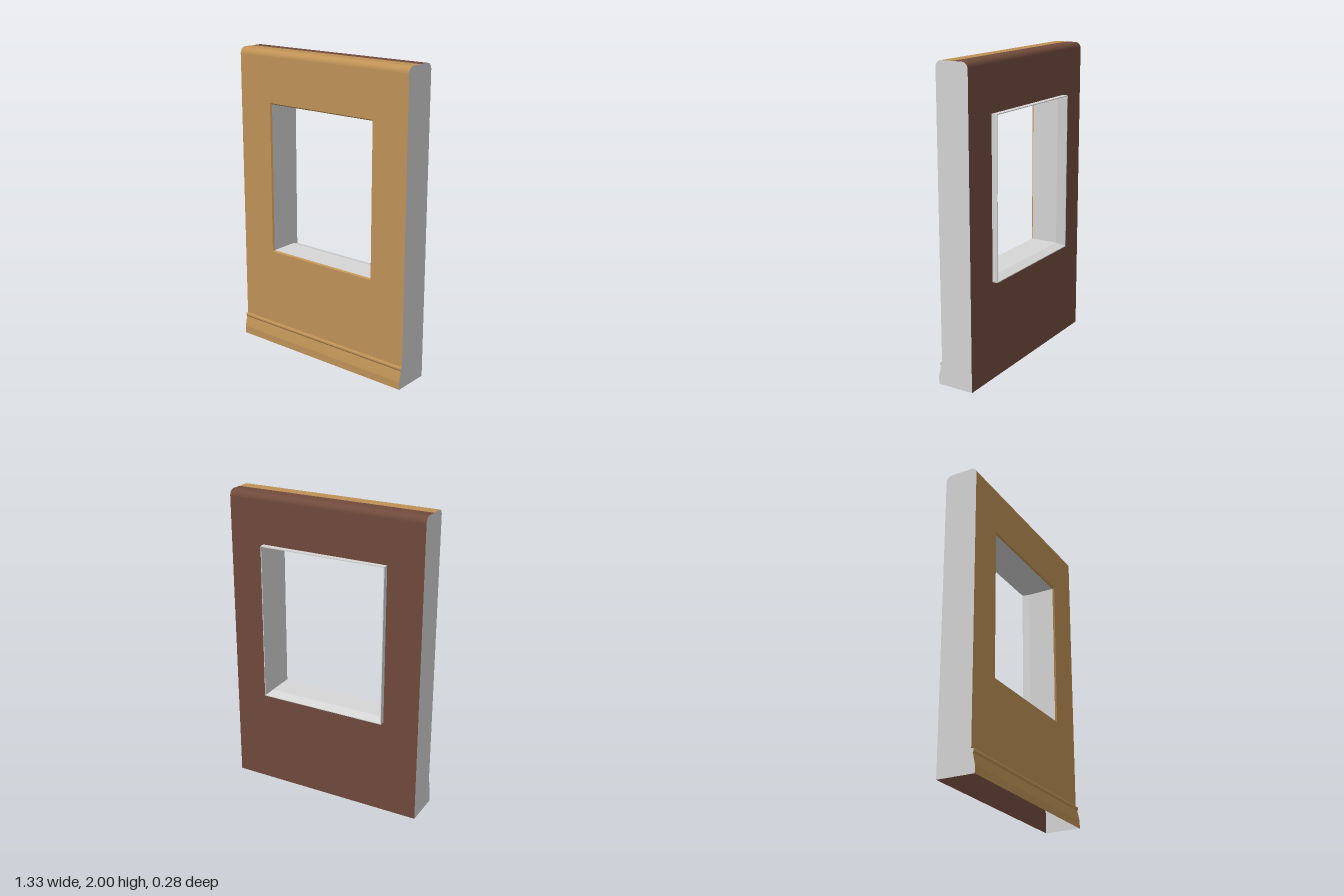
import * as THREE from 'three';

const W = 0.665, FRONT = 0.115, BACK = -0.105, TOP = 2, R = 0.04;

function paint(name, color) {
  const m = new THREE.MeshStandardMaterial({ color, side: THREE.DoubleSide });
  m.name = name;
  return m;
}

// Strip of quads between successive rows of points; rows all have equal length
function loft(rows, smooth) {
  const n = rows[0].length, index = [];
  for (let i = 0; i < rows.length - 1; i++) {
    for (let j = 0; j < n - 1; j++) {
      const a = i * n + j, b = a + n;
      index.push(a, b, a + 1, a + 1, b, b + 1);
    }
  }
  let g = new THREE.BufferGeometry();
  g.setAttribute('position', new THREE.Float32BufferAttribute(rows.flat(2), 3));
  g.setIndex(index);
  if (!smooth) g = g.toNonIndexed();
  g.computeVertexNormals();
  return g;
}

// Sweep a [z, y] profile across the full width
const sweep = (profile, smooth) =>
  loft(profile.map(([z, y]) => [[-W, y, z], [W, y, z]]), smooth);

// Rectangular frame surface through [grow, z] steps around the opening
const HX = 0.405, HY0 = 0.665, HY1 = 1.655;
const frame = (steps) => loft(steps.map(([e, z]) => {
  const x = HX + e, lo = HY0 - e, hi = HY1 + e;
  return [[-x, lo, z], [x, lo, z], [x, hi, z], [-x, hi, z], [-x, lo, z]];
}));

// Flat panel with the window opening cut out
function panel(y0, y1, grow, z, facingBack) {
  const s = new THREE.Shape();
  s.moveTo(-W, y0).lineTo(W, y0).lineTo(W, y1).lineTo(-W, y1).closePath();
  const h = new THREE.Path(), x = HX + grow;
  h.moveTo(-x, HY0 - grow).lineTo(-x, HY1 + grow).lineTo(x, HY1 + grow).lineTo(x, HY0 - grow).closePath();
  s.holes.push(h);
  const g = new THREE.ShapeGeometry(s);
  if (facingBack) g.rotateY(Math.PI);
  return g.translate(0, 0, z);
}

// Quarter-round top edge, from the upright face to the top face
function topArc(face, dir) {
  const pts = [];
  for (let i = 0; i <= 8; i++) {
    const a = (i / 8) * Math.PI / 2;
    pts.push([face - dir * R * (1 - Math.cos(a)), TOP - R + R * Math.sin(a)]);
  }
  return pts;
}

export function createModel() {
  const model = new THREE.Group();
  const tan = paint('tan', 0xbf9256);
  const brown = paint('brown', 0x714b3c);
  const grey = paint('lightGrey', 0xd6d6d6);
  const add = (name, geometry, material) => {
    const mesh = new THREE.Mesh(geometry, material);
    mesh.name = name;
    model.add(mesh);
  };

  // Profiles as [z, y]
  const skirting = [[0.14, 0], [0.14, 0.05], [0.135, 0.075], [0.125, 0.12],
    [0.131, 0.13], [0.131, 0.14], [0.126, 0.146], [FRONT, 0.146]];
  const frontArc = topArc(FRONT, 1), backArc = topArc(BACK, -1);

  // Outer (front) skin, open underneath
  add('skirting', sweep(skirting.slice().reverse()), tan);
  add('frontPanel', panel(0.146, TOP - R, 0.008, FRONT, false), tan);
  add('frontTopEdge', sweep(frontArc.slice().reverse(), true), tan);
  add('frontTop', sweep([[0, TOP], [FRONT - R, TOP]]), tan);
  add('openingBevel', frame([[0.008, FRONT], [0, FRONT - 0.01]]), tan);

  // Inner (back) skin
  add('backPanel', panel(0, TOP - R, 0.022, BACK, true), brown);
  add('backTopEdge', sweep(backArc, true), brown);
  add('backTop', sweep([[BACK + R, TOP], [0, TOP]]), brown);

  // Window lining, flared at the back into a projecting rim
  add('windowLining', frame([[0, FRONT - 0.01], [0, -0.08]]), grey);
  add('windowRim', frame([[0, -0.08], [0.018, -0.142], [0.023, -0.142], [0.023, BACK]]), grey);

  // End caps following the whole outline
  const outline = [...skirting, ...frontArc, ...backArc.slice().reverse(), [BACK, 0]];
  for (const side of [-1, 1]) {
    const s = new THREE.Shape(outline.map(([z, y]) => new THREE.Vector2(-side * z, y)));
    const cap = new THREE.ShapeGeometry(s).rotateY(side * Math.PI / 2).translate(side * W, 0, 0);
    add(side > 0 ? 'leftEnd' : 'rightEnd', cap, grey);
  }
  return model;
}
